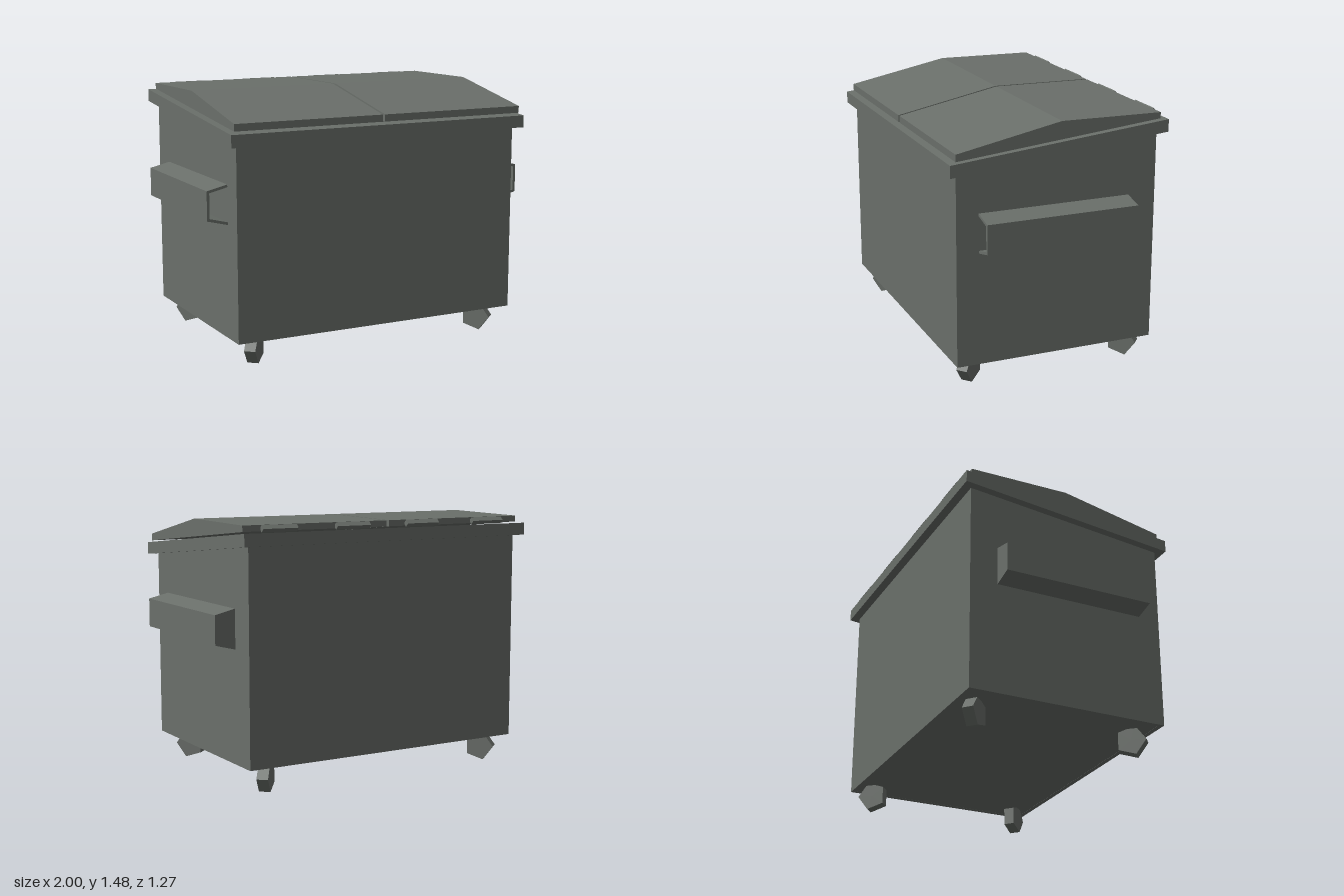
import * as THREE from 'three';

const SLOPE = 0.0984; // the rim rises towards the back

export function createModel() {
  const model = new THREE.Group();
  model.name = 'wasteContainer';
  const paint = new THREE.MeshStandardMaterial({ color: 0x6a6f6a });
  paint.name = 'greyGreenPaint';
  paint.flatShading = true;

  const add = (name, geometry, x = 0, y = 0, z = 0) => {
    const mesh = new THREE.Mesh(geometry, paint);
    mesh.name = name;
    mesh.position.set(x, y, z);
    model.add(mesh);
    return mesh;
  };
  const polygon = (points) => new THREE.Shape(points.map((p) => new THREE.Vector2(...p)));
  const rect = (w, d) => [[-w, -d], [w, -d], [w, d], [-w, d]];
  const extrude = (shape, depth) => new THREE.ExtrudeGeometry(shape, { depth, bevelEnabled: false });

  // Rectangular ring standing upright, with a slanted top and optionally a slanted bottom
  const slantedRing = (outer, inner, bottom, top, slantBottom) => {
    const shape = polygon(rect(...outer));
    shape.holes.push(polygon(rect(...inner)));
    const g = extrude(shape, 1).rotateX(-Math.PI / 2);
    const p = g.attributes.position;
    for (let i = 0; i < p.count; i++) {
      const upper = p.getY(i) > 0.5;
      const shear = upper || slantBottom ? -SLOPE * p.getZ(i) : 0;
      p.setY(i, (upper ? top : bottom) + shear);
    }
    g.computeVertexNormals();
    return g;
  };

  // Open-topped body and its overhanging rim
  add('bodyWalls', slantedRing([0.88, 0.5875], [0.85, 0.56], 0.15, 1.3, false));
  add('bodyFloor', new THREE.BoxGeometry(1.74, 0.03, 1.16), 0, 0.166, 0);
  add('rim', slantedRing([0.927, 0.635], [0.852, 0.562], 1.297, 1.367, true));

  // Two lids side by side, extruded from their side profile
  const lidProfile = polygon([[-0.6, 1.317], [0.59, 1.436], [0.59, 1.47], [0, 1.477], [-0.6, 1.357]]);
  for (const [name, x0, x1] of [['rightLid', -0.895, 0], ['leftLid', 0.015, 0.915]]) {
    // profile x runs towards the back, extrusion runs along +x
    add(name, extrude(lidProfile, x1 - x0).rotateY(Math.PI / 2), x0);
  }

  // Hinge barrels along the back of the lids
  for (const x of [-0.668, -0.213, 0.245, 0.702]) {
    add('hinge', new THREE.CylinderGeometry(0.02, 0.02, 0.213, 4).rotateZ(Math.PI / 2), x, 1.45, -0.604);
  }

  for (const side of [1, -1]) {
    // Fork pocket: thin channel open at the front, capped at the back
    const outer = [[0.88, 0.79], [1, 0.82], [1, 0.985], [0.88, 1.013]];
    const inner = [[0.88, 0.998], [0.985, 0.973], [0.985, 0.832], [0.88, 0.805]];
    const mirrored = (pts) => polygon(pts.map(([x, y]) => [side * x, y]));
    add('forkPocket', extrude(mirrored([...outer, ...inner]), 0.87), 0, 0, -0.41);
    add('forkPocketEnd', extrude(mirrored(outer), 0.015), 0, 0, -0.425);

    // Five-sided wheels pointing outwards at the corners
    for (const [name, end, z] of [['frontWheel', 1, 0.465], ['backWheel', -1, -0.49]]) {
      const wheel = new THREE.CylinderGeometry(0.087, 0.087, 0.065, 5)
        .rotateX(Math.PI / 2)
        .rotateZ(Math.PI / 2)
        .rotateY(-Math.atan2(end * 0.755, side * 0.656));
      add(name, wheel, side * 0.735, 0.083, z);
    }
  }
  return model;
}
